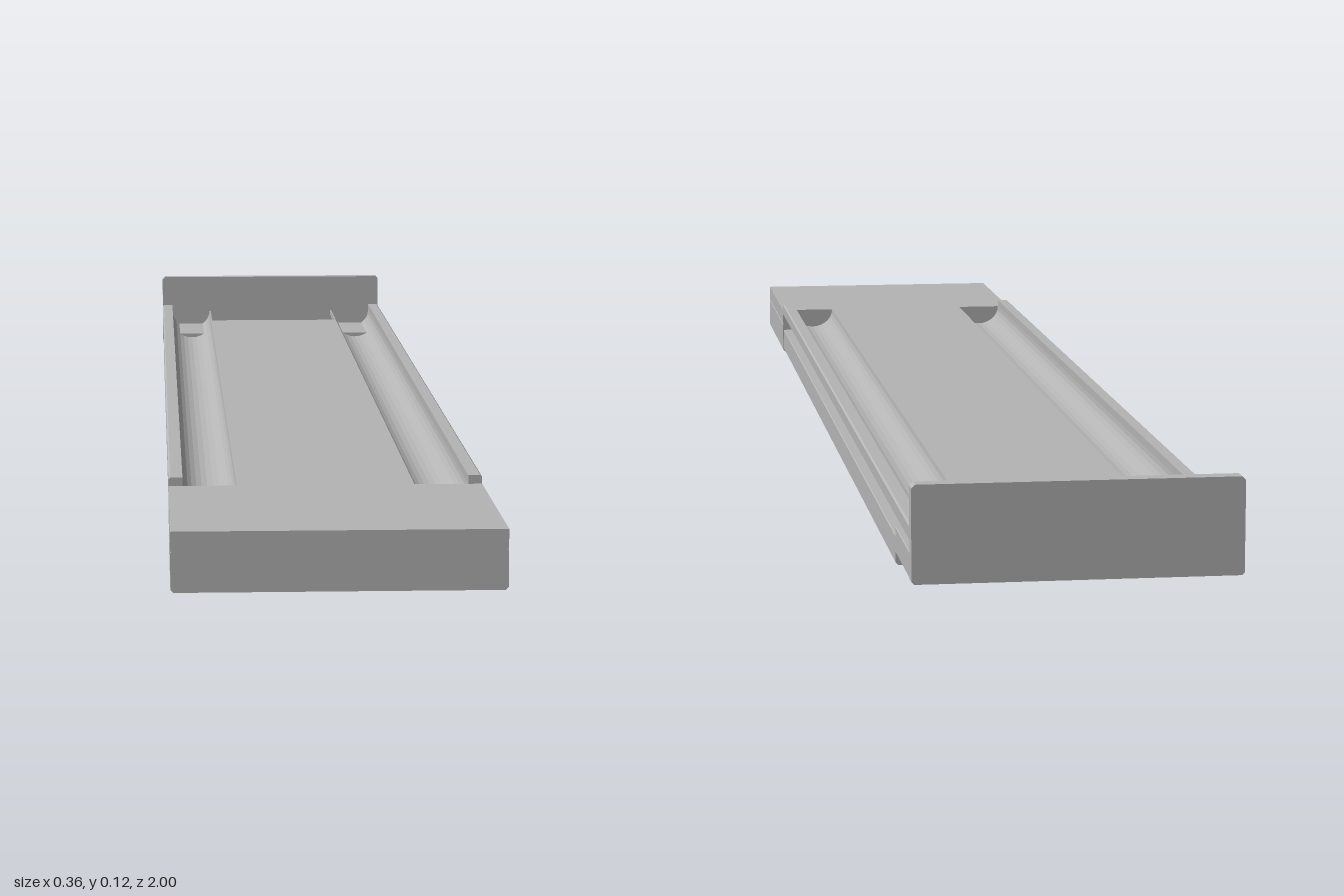
import * as THREE from 'three';

export function createModel() {
  const group = new THREE.Group();
  group.name = 'bowlingLane';
  const grey = new THREE.MeshStandardMaterial({ color: 0xb4b4b4 });
  grey.name = 'plain grey';

  // Extrude an x/y outline from z0 to z1
  function extrude(name, shape, z0, z1) {
    const geo = new THREE.ExtrudeGeometry(shape, { depth: z1 - z0, bevelEnabled: false, curveSegments: 14 });
    geo.translate(0, 0, z0);
    const mesh = new THREE.Mesh(geo, grey);
    mesh.name = name;
    group.add(mesh);
  }

  // Rectangle centred on x = 0, with chamfers at the bottom (cb) and top (ct)
  function slab(halfWidth, y0, y1, cb = 0, ct = 0) {
    const w = halfWidth;
    const points = [[-w + cb, y0], [w - cb, y0], [w, y0 + cb], [w, y1 - ct],
      [w - ct, y1], [-w + ct, y1], [-w, y1 - ct], [-w, y0 + cb]];
    return new THREE.Shape(points.map(([x, y]) => new THREE.Vector2(x, y)));
  }

  // Approach: lower body and upper deck
  extrude('approachBase', slab(0.18, 0, 0.044, 0.003, 0.001), 0.72, 1);
  extrude('approachDeck', slab(0.18, 0.044, 0.066, 0.001), 0.72, 1);

  // Lane bed with its raised playing surface
  extrude('laneBase', slab(0.179, 0.002, 0.035, 0.003, 0.001), -0.845, 0.717);
  extrude('laneSurface', slab(0.101, 0.035, 0.066), -0.85, 0.72);

  // Low deck behind the lane and the upright end wall
  extrude('endDeck', slab(0.179, 0.015, 0.045, 0.002, 0.001), -0.99, -0.845);
  extrude('endWall', slab(0.18, 0.015, 0.123, 0.003, 0.004), -1, -0.982);

  // Curved gutter shells, each with a square outer rail
  for (const side of [1, -1]) {
    const points = [];
    const arc = (cx, rx, ry, from, to) => {
      for (let i = 0; i <= 14; i++) {
        const a = from + (to - from) * i / 14;
        points.push(new THREE.Vector2(side * (cx + rx * Math.cos(a)), 0.066 + ry * Math.sin(a)));
      }
    };
    const add = (x, y) => points.push(new THREE.Vector2(side * x, y));
    add(0.1, 0.066);
    arc(0.133, 0.031, 0.027, Math.PI, 2 * Math.PI);
    add(0.164, 0.076);
    add(0.178, 0.076);
    add(0.18, 0.074);
    add(0.18, 0.06);
    arc(0.133, 0.034, 0.03, 2 * Math.PI - 0.2, Math.PI + 0.2);
    add(0.1, 0.06);
    extrude(side > 0 ? 'leftGutter' : 'rightGutter', new THREE.Shape(points), -0.982, 0.72);
  }
  return group;
}
